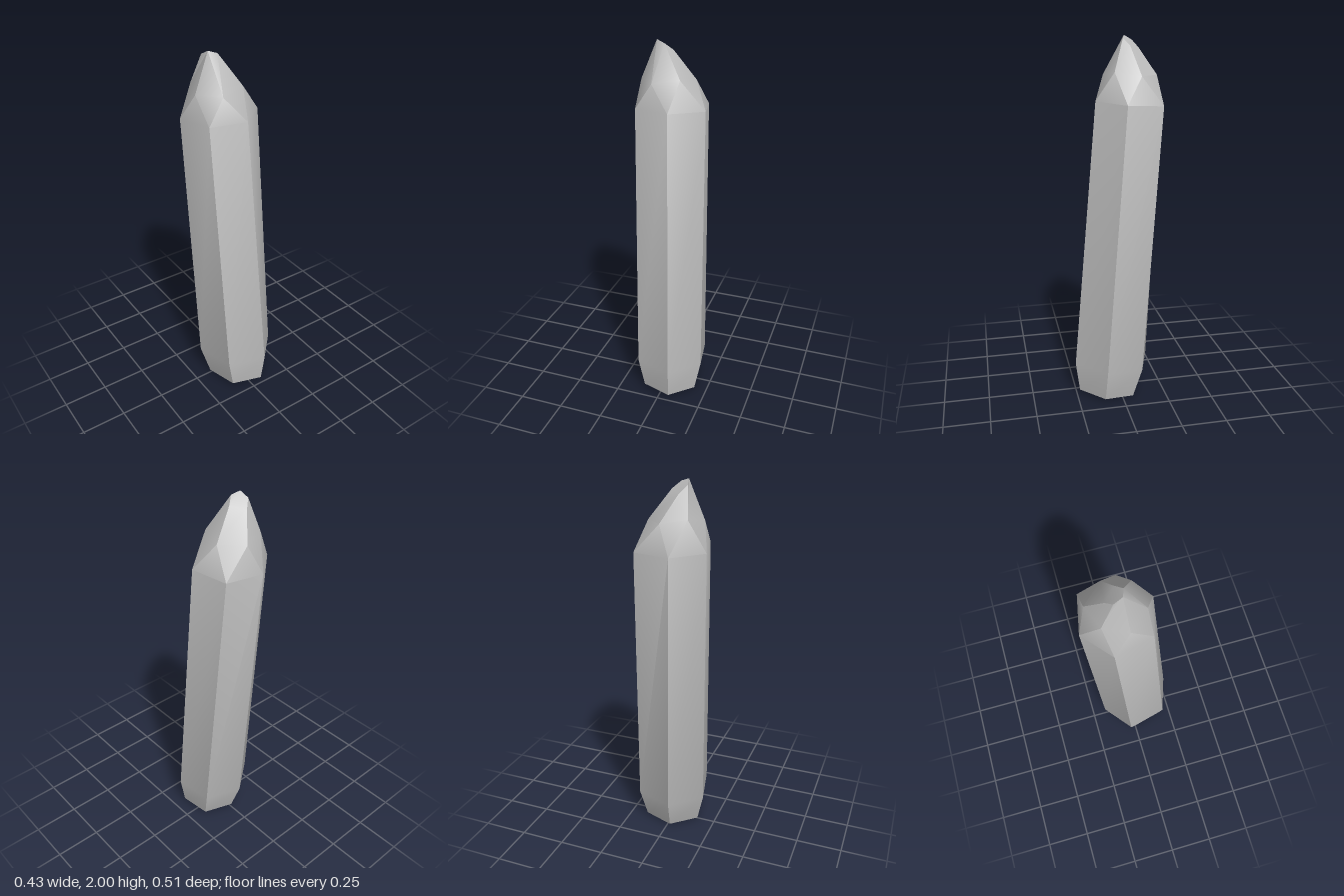
import * as THREE from 'three';
import { toCreasedNormals } from 'three/addons/utils/BufferGeometryUtils.js';

// Six-sided rings, counterclockwise from above, starting at the front corner
const base = [[0.068, 0.256], [0.215, 0.097], [0.18, -0.107], [-0.025, -0.175], [-0.192, -0.042], [-0.138, 0.187]];
const shoulder = [[0.02, 0.12], [0.178, -0.018], [0.137, -0.217], [-0.065, -0.259], [-0.218, -0.132], [-0.172, 0.068]];
const N = 6;
const point = (x, y, z) => new THREE.Vector3(x, y, z);

// Leaning rings: each one is tilted a little towards the back
const foot = base.map(([x, z]) => {
  const fz = 0.055 + (z - 0.036) * 0.81;
  return point(0.022 + (x - 0.018) * 0.81, 0.07 * (fz + 0.117), fz);
});
const lower = base.map(([x, z]) => point(x, 0.185 + 0.06 * (z - 0.036), z));
const upper = shoulder.map(([x, z]) => point(x, 1.66 + 0.06 * (z + 0.07), z));

// Tip facets: one point above each side, then the slanted crest
const facet = [
  point(0.055, 1.82, 0.025), point(0.1, 1.8, -0.108), point(0, 1.8, -0.212),
  point(-0.13, 1.82, -0.165), point(-0.178, 1.8, -0.045), point(-0.085, 1.8, 0.06),
];
const peak = point(-0.095, 2, -0.055);
const crest = [
  point(-0.05, 1.985, -0.04), point(-0.012, 1.95, -0.07), point(-0.07, 1.935, -0.13),
  point(-0.105, 1.975, -0.1), peak, peak,
];

function surface(triangles) {
  const solid = triangles.filter(([a, b, c]) => a !== b && b !== c && c !== a);
  const geometry = new THREE.BufferGeometry().setFromPoints(solid.flat());
  geometry.computeVertexNormals();
  return toCreasedNormals(geometry, 0.7);
}

export function createModel() {
  const group = new THREE.Group();
  group.name = 'crystal';
  const stone = new THREE.MeshStandardMaterial({ color: 0xbcbcbc });
  stone.name = 'grey stone';

  const triangles = [];
  const quad = (a, b, c, d) => triangles.push([a, b, c], [a, c, d]);
  for (let i = 0; i < N; i++) {
    const j = (i + 1) % N;
    // bevelled foot and long shaft
    quad(foot[i], foot[j], lower[j], lower[i]);
    quad(lower[i], lower[j], upper[j], upper[i]);
    // faceted tip
    triangles.push([upper[i], upper[j], facet[i]], [upper[j], facet[j], facet[i]]);
    quad(facet[i], facet[j], crest[j], crest[i]);
  }
  // slanted crest and flat underside
  for (let i = 0; i < 3; i++) triangles.push([peak, crest[i], crest[i + 1]]);
  for (let i = 1; i < N - 1; i++) triangles.push([foot[0], foot[i + 1], foot[i]]);

  const crystal = new THREE.Mesh(surface(triangles), stone);
  crystal.name = 'crystalShard';
  group.add(crystal);
  return group;
}
